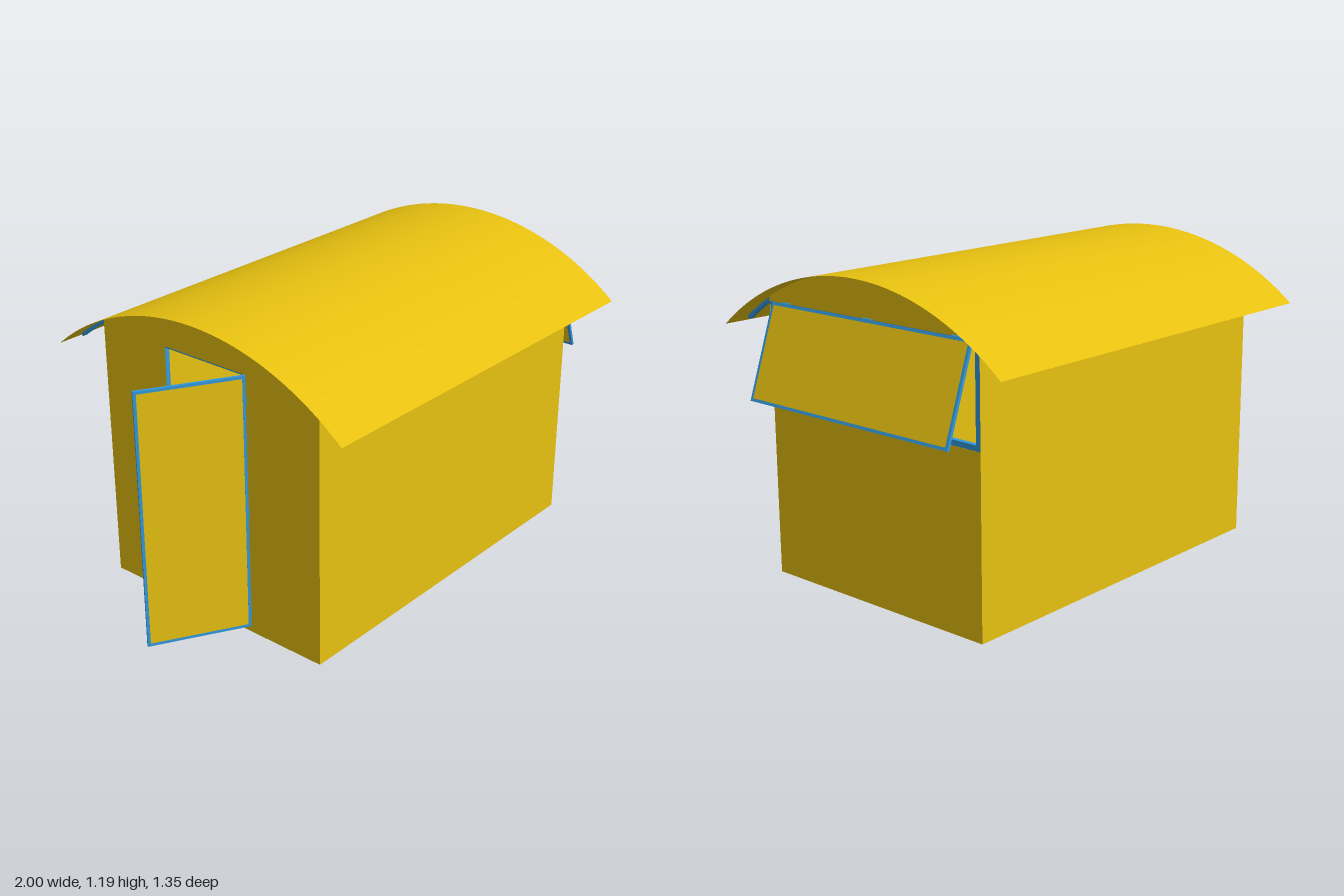
import * as THREE from 'three';

const yellow = new THREE.MeshStandardMaterial({ color: 0xe6c010, side: THREE.DoubleSide });
const blue = new THREE.MeshStandardMaterial({ color: 0x3399dd });

// Cabin extents and the roof circle
const X0 = -0.66, X1 = 0.872, Z = 0.516, EAVE = 1.04;
const R = 1.051, TOP = 1.193, CY = TOP - R;
const DOOR = { z0: -0.2, z1: 0.187, y0: 0.028, y1: 1.035 };
const SILL = 0.67, T = 0.02;
const arcY = (z, r = R) => CY + Math.sqrt(r * r - z * z);
const V = (x, y, z) => new THREE.Vector3(x, y, z);

function add(parent, name, geometry, material) {
  const mesh = new THREE.Mesh(geometry, material);
  mesh.name = name;
  parent.add(mesh);
  return mesh;
}

// Square bar between two points
function bar(parent, name, a, b, w = T) {
  const mesh = add(parent, name, new THREE.BoxGeometry(w, w, a.distanceTo(b)), blue);
  mesh.position.copy(a).add(b).multiplyScalar(0.5);
  mesh.lookAt(b);
  return mesh;
}

// Flat sheet across the cabin, drawn in (z, y)
function endSheet(parent, name, shape, x) {
  const mesh = add(parent, name, new THREE.ShapeGeometry(shape, 24), yellow);
  mesh.rotation.y = -Math.PI / 2;
  mesh.position.x = x;
}

// Rectangle from y0 up to the underside of the roof
function archShape(y0) {
  const shape = new THREE.Shape();
  shape.moveTo(-Z, y0);
  shape.lineTo(Z, y0);
  for (let i = 0; i <= 32; i++) {
    const z = Z - (2 * Z * i) / 32;
    shape.lineTo(z, arcY(z) - 0.001);
  }
  return shape;
}

// Thin yellow leaf with a blue edge frame, centred on its middle
function leaf(name, w, h) {
  const group = new THREE.Group();
  group.name = name;
  const t = 0.011, x = w / 2 - t / 2, y = h / 2 - t / 2;
  add(group, name + 'Sheet', new THREE.BoxGeometry(w - t, h - t, t * 0.9), yellow);
  for (const s of [-1, 1]) {
    bar(group, name + 'Stile', V(s * x, -h / 2, 0), V(s * x, h / 2, 0), t);
    bar(group, name + 'Rail', V(-w / 2, s * y, 0), V(w / 2, s * y, 0), t);
  }
  return group;
}

export function createModel() {
  const model = new THREE.Group();
  model.name = 'cabin';

  // Curved roof sheet
  const half = Math.asin(0.677 / R);
  const roof = add(model, 'roof',
    new THREE.CylinderGeometry(R, R, 1.69, 48, 1, true, Math.PI / 2 - half, 2 * half), yellow);
  roof.rotation.z = Math.PI / 2;
  roof.position.set(0.105, CY, 0);

  // Long walls
  for (const s of [-1, 1]) {
    const wall = add(model, s > 0 ? 'frontWall' : 'backWall',
      new THREE.PlaneGeometry(X1 - X0, arcY(Z)), yellow);
    wall.position.set((X0 + X1) / 2, arcY(Z) / 2, s * Z);
    if (s < 0) wall.rotation.y = Math.PI;
  }

  // End wall with the doorway
  const doorWall = archShape(0);
  const hole = new THREE.Path();
  hole.moveTo(DOOR.z0, DOOR.y0);
  hole.lineTo(DOOR.z0, DOOR.y1);
  hole.lineTo(DOOR.z1, DOOR.y1);
  hole.lineTo(DOOR.z1, DOOR.y0);
  doorWall.holes.push(hole);
  endSheet(model, 'doorWall', doorWall, X0);

  // End wall with the serving opening, and the gable above it
  const lower = new THREE.Shape([[-Z, 0], [Z, 0], [Z, SILL], [-Z, SILL]]
    .map(([z, y]) => new THREE.Vector2(z, y)));
  endSheet(model, 'windowWall', lower, X1);
  endSheet(model, 'windowGable', archShape(EAVE), X1);

  // Inner frame
  const frame = new THREE.Group();
  frame.name = 'frame';
  model.add(frame);
  const h = T / 2 + 0.001;
  const xa = X0 + h, xb = X1 - h, xm = (xa + xb) / 2, zi = Z - h, top = EAVE - T / 2;
  for (const s of [-1, 1]) {
    const z = s * zi;
    for (const y of [T / 2, top]) bar(frame, 'sideRail', V(xa, y, z), V(xb, y, z));
    for (const x of [xa, xm, xb]) bar(frame, 'post', V(x, 0, z), V(x, EAVE, z));
    for (const [x, d] of [[xa, 1], [xb, -1]]) {
      bar(frame, 'lowerBrace', V(x + d * 0.28, T / 2, z), V(x, 0.65, z));
    }
  }
  for (const x of [xa, xb]) {
    for (const y of [T / 2, EAVE]) bar(frame, 'endRail', V(x, y, -zi), V(x, y, zi));
  }
  bar(frame, 'sill', V(xb, SILL + T / 2, -zi), V(xb, SILL + T / 2, zi));
  for (const z of [DOOR.z0 - h, DOOR.z1 + h]) bar(frame, 'doorPost', V(xa, 0, z), V(xa, EAVE, z));

  // Curved roof ribs reaching out under the eaves
  const ribShape = new THREE.Shape();
  const a = Math.asin(0.65 / R), r1 = R - 0.002, r0 = R - 0.014;
  ribShape.absarc(0, CY, r1, Math.PI / 2 - a, Math.PI / 2 + a, false);
  ribShape.absarc(0, CY, r0, Math.PI / 2 + a, Math.PI / 2 - a, true);
  const ribGeometry = new THREE.ExtrudeGeometry(ribShape,
    { depth: T, bevelEnabled: false, curveSegments: 24 });
  for (const x of [xa, xm, xb]) {
    const rib = add(frame, 'roofRib', ribGeometry, blue);
    rib.rotation.y = -Math.PI / 2;
    rib.position.x = x + T / 2;
  }

  // Door standing open
  const doorW = 0.39, doorAngle = Math.PI * 5 / 6;
  const door = leaf('door', doorW, DOOR.y1 - DOOR.y0);
  door.rotation.y = doorAngle;
  door.position.set(X0 - 0.002 + Math.cos(doorAngle) * doorW / 2, (DOOR.y0 + DOOR.y1) / 2,
    DOOR.z1 - Math.sin(doorAngle) * doorW / 2);
  model.add(door);

  // Window flap propped out from its top edge
  const flapH = 0.365, tilt = 0.334;
  const flap = leaf('windowFlap', 0.98, flapH);
  flap.rotation.set(0, -Math.PI / 2, tilt, 'ZYX');
  flap.position.set(X1 + 0.004 + Math.sin(tilt) * flapH / 2, EAVE - Math.cos(tilt) * flapH / 2, 0);
  model.add(flap);

  // Hinges for the flap and the door
  for (const z of [-0.42, 0, 0.42]) {
    const hinge = add(model, 'flapHinge', new THREE.CylinderGeometry(0.005, 0.005, 0.04, 8), blue);
    hinge.rotation.x = Math.PI / 2;
    hinge.position.set(X1 + 0.004, EAVE, z);
  }
  for (const y of [0.09, 0.5, 0.94]) {
    const hinge = add(model, 'doorHinge', new THREE.CylinderGeometry(0.005, 0.005, 0.04, 8), blue);
    hinge.position.set(X0 - 0.004, y, DOOR.z1);
  }
  return model;
}
